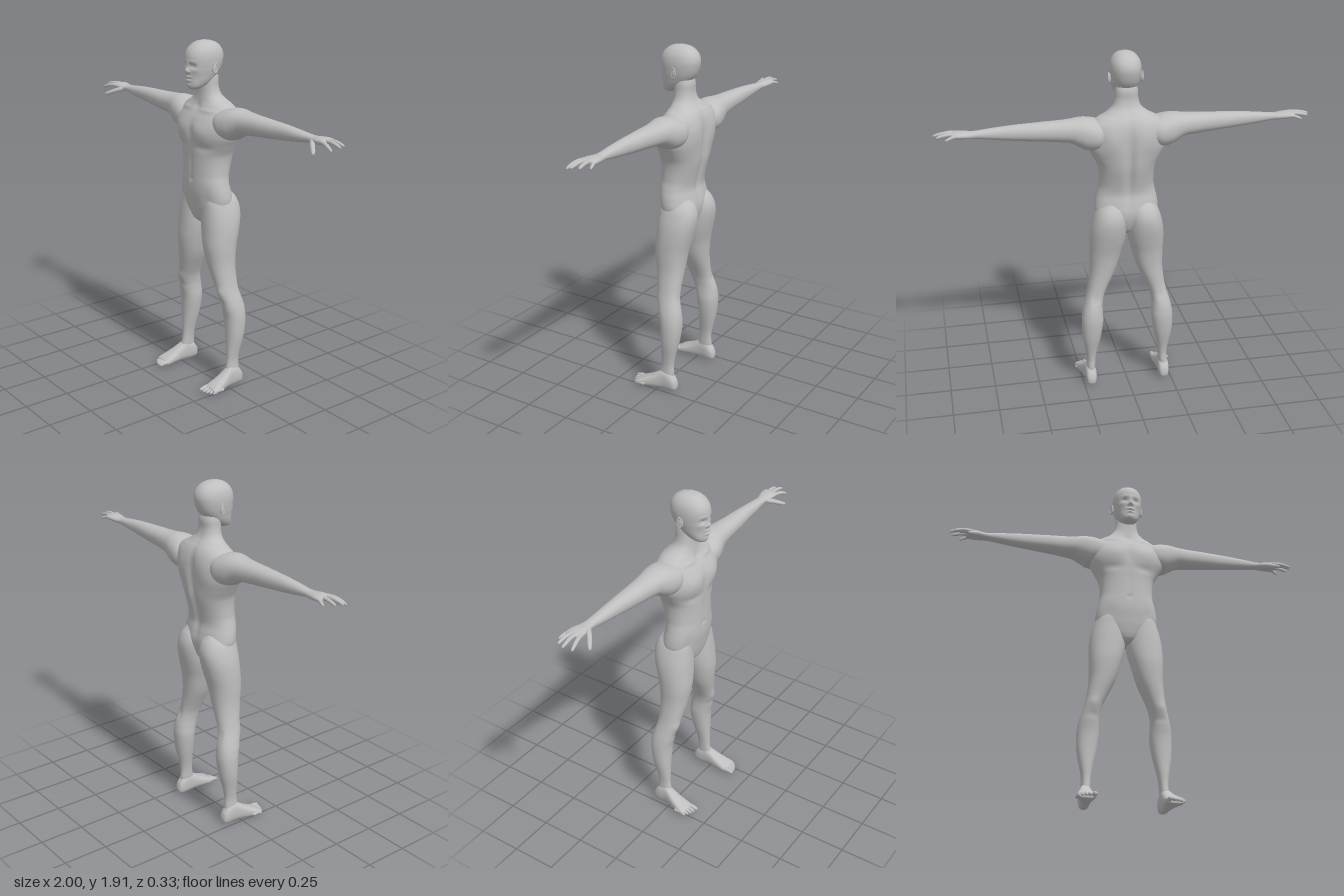
import * as THREE from 'three';
import { mergeVertices } from 'three/addons/utils/BufferGeometryUtils.js';

const skin = new THREE.MeshStandardMaterial({ color: 0xbfbfbf });
skin.name = 'plain grey';

// Cubic interpolation between rows i and i+1, column by column
function between(rows, i, u) {
  const slope = (k, c) => {
    const a = rows[Math.max(k - 1, 0)], b = rows[Math.min(k + 1, rows.length - 1)];
    return (b[c] - a[c]) / (b[0] - a[0]);
  };
  const p = rows[i], q = rows[i + 1], h = q[0] - p[0], u2 = u * u, u3 = u2 * u;
  return p.map((v, c) => c === 0 ? v + h * u :
    v * (2 * u3 - 3 * u2 + 1) + q[c] * (3 * u2 - 2 * u3) +
    h * (slope(i, c) * (u3 - 2 * u2 + u) + slope(i + 1, c) * (u3 - u2)));
}

// Closed skin through rounded sections [t, a0, a1, b0, b1] along an axis:
// y takes (a, b) = (z, x), x takes (y, z), z takes (x, y).
// Bumps [x, y, side, rx, ry, amount] push the front or back surface in z.
function loft(axis, rows, { sides = 40, steps = 6, power = 2.2, bumps = [] } = {}) {
  const rings = [];
  for (let i = 0; i < rows.length - 1; i++)
    for (let s = 0; s < steps; s++) rings.push(between(rows, i, s / steps));
  rings.push(rows[rows.length - 1]);
  const pos = [], index = [];
  const put = (t, a, b, c) => {
    const p = axis === 'y' ? [b, t, a] : axis === 'x' ? [t, a, b] : [a, b, t];
    for (const [x, y, side, rx, ry, amount] of bumps) {
      const g = ((Math.abs(p[0]) - x) / rx) ** 2 + ((p[1] - y) / ry) ** 2;
      p[2] += side * amount * Math.max(0, side * c) * Math.exp(-g);
    }
    pos.push(...p);
  };
  const round = v => Math.sign(v) * Math.abs(v) ** (2 / power);
  for (const [t, a0, a1, b0, b1] of rings)
    for (let j = 0; j < sides; j++) {
      const th = j / sides * Math.PI * 2, c = Math.cos(th);
      put(t, (a0 + a1) / 2 + (a1 - a0) / 2 * round(c), (b0 + b1) / 2 + (b1 - b0) / 2 * round(Math.sin(th)), c);
    }
  const n = rings.length, last = (n - 1) * sides;
  for (const r of [rings[0], rings[n - 1]]) put(r[0], (r[1] + r[2]) / 2, (r[3] + r[4]) / 2, 0);
  for (let j = 0; j < sides; j++) {
    const k = (j + 1) % sides;
    for (let i = 0; i < n - 1; i++) {
      const A = i * sides + j, B = i * sides + k;
      index.push(A, B, B + sides, A, B + sides, A + sides);
    }
    index.push(n * sides, k, j, n * sides + 1, last + j, last + k);
  }
  const g = new THREE.BufferGeometry();
  g.setAttribute('position', new THREE.Float32BufferAttribute(pos, 3));
  g.setIndex(index);
  g.computeVertexNormals();
  return g;
}

// Tapering tube with a rounded tip, for fingers and toes
function digit(points, radius) {
  const curve = new THREE.CatmullRomCurve3(points.map(p => new THREE.Vector3(...p)));
  const segs = 18, sides = 12;
  let g = new THREE.TubeGeometry(curve, segs, radius, sides);
  const pos = g.attributes.position, v = new THREE.Vector3();
  for (let i = 0; i < pos.count; i++) {
    const u = Math.floor(i / (sides + 1)) / segs, c = curve.getPointAt(u);
    v.fromBufferAttribute(pos, i).sub(c).multiplyScalar((1 - 0.25 * u) * Math.sqrt(1 - u ** 8)).add(c);
    pos.setXYZ(i, v.x, v.y, v.z);
  }
  g.deleteAttribute('uv');
  g.deleteAttribute('normal');
  g = mergeVertices(g, 1e-5);
  g.computeVertexNormals();
  return g;
}

// Reflected copy in x, with the corner order restored
function mirrored(geometry) {
  const g = geometry.clone(), pos = g.attributes.position, idx = g.index;
  for (let i = 0; i < pos.count; i++) pos.setX(i, -pos.getX(i));
  for (let i = 0; i < idx.count; i += 3) {
    const a = idx.getX(i);
    idx.setX(i, idx.getX(i + 1));
    idx.setX(i + 1, a);
  }
  g.computeVertexNormals();
  return g;
}

export function createModel() {
  const model = new THREE.Group();
  model.name = 'standingFigure';
  const add = (name, g) => {
    const m = new THREE.Mesh(g, skin);
    m.name = name;
    model.add(m);
  };
  const pair = (name, g) => {
    add('left' + name, g);
    add('right' + name, mirrored(g));
  };
  const even = rows => rows.map(([y, w, z0, z1]) => [y, z0, z1, -w, w]);

  // Torso and neck: height, half width, back, front
  add('torso', loft('y', even([
    [0.915, 0.03, -0.07, 0.015], [0.94, 0.08, -0.1, 0.04], [1, 0.155, -0.125, 0.058], [1.05, 0.172, -0.132, 0.067],
    [1.1, 0.169, -0.125, 0.075], [1.15, 0.158, -0.116, 0.077], [1.2, 0.148, -0.124, 0.077], [1.3, 0.154, -0.15, 0.079],
    [1.36, 0.182, -0.157, 0.083], [1.41, 0.208, -0.16, 0.086], [1.46, 0.216, -0.16, 0.083], [1.5, 0.215, -0.158, 0.068],
    [1.54, 0.195, -0.15, 0.044], [1.57, 0.155, -0.136, 0.03], [1.59, 0.115, -0.12, 0.023], [1.62, 0.078, -0.098, 0.019],
    [1.66, 0.064, -0.086, 0.018], [1.71, 0.06, -0.085, 0.018], [1.75, 0.05, -0.07, 0.01],
  ]), {
    sides: 96, bumps: [
      [0, 1.33, -1, 0.022, 0.2, -0.02], [0.1, 1.46, -1, 0.05, 0.07, 0.01],   // spine, shoulder blades
      [0.09, 1.43, 1, 0.07, 0.045, 0.008], [0, 1.43, 1, 0.02, 0.06, -0.008], // chest, breastbone
      [0.1, 1.35, 1, 0.06, 0.02, -0.008], [0, 1.25, 1, 0.012, 0.08, -0.004], // rib edge, belly line
      [0, 1.17, 1, 0.01, 0.01, -0.008], [0.11, 1.08, 1, 0.03, 0.04, -0.005], // navel, groin
      [0.09, 1.545, 1, 0.05, 0.01, 0.006], [0, 1.56, 1, 0.02, 0.02, -0.008], // collarbones, throat
    ],
  }));

  // Head with the face pushed out of it
  add('head', loft('y', even([
    [1.652, 0.015, 0.04, 0.07], [1.658, 0.03, 0.025, 0.083], [1.672, 0.046, -0.005, 0.09], [1.7, 0.061, -0.05, 0.093],
    [1.73, 0.07, -0.082, 0.095], [1.76, 0.077, -0.102, 0.097], [1.8, 0.082, -0.115, 0.099], [1.83, 0.081, -0.117, 0.098],
    [1.86, 0.073, -0.106, 0.085], [1.885, 0.055, -0.082, 0.06], [1.898, 0.034, -0.053, 0.033], [1.905, 0.006, -0.016, -0.004],
  ]), {
    sides: 112, steps: 8, bumps: [
      [0.032, 1.778, 1, 0.017, 0.012, -0.012], [0.03, 1.803, 1, 0.03, 0.008, 0.003], // eye sockets, brow
      [0, 1.755, 1, 0.01, 0.013, 0.017], [0, 1.785, 1, 0.008, 0.02, 0.007],          // nose, bridge
      [0.012, 1.748, 1, 0.007, 0.007, 0.006], [0.05, 1.757, 1, 0.018, 0.012, 0.003], // nostrils, cheekbones
      [0.05, 1.715, 1, 0.02, 0.025, -0.005],                                         // cheek hollows
      [0, 1.72, 1, 0.02, 0.006, 0.007], [0, 1.702, 1, 0.018, 0.006, 0.007],          // lips
      [0, 1.711, 1, 0.022, 0.004, -0.005], [0, 1.675, 1, 0.018, 0.012, 0.005],       // mouth, chin
    ],
  }));
  pair('Eye', new THREE.SphereGeometry(0.0125, 20, 14).translate(0.032, 1.777, 0.0705));

  // Ears: flat shell with a raised rim
  pair('Ear', new THREE.SphereGeometry(1, 20, 14).scale(0.008, 0.027, 0.016).rotateY(-0.25).translate(0.083, 1.766, -0.015));
  pair('EarRim', new THREE.TorusGeometry(0.014, 0.0035, 8, 28).scale(1, 1.8, 1).rotateY(Math.PI / 2 - 0.25).translate(0.088, 1.768, -0.016));

  // Arm and palm: x, bottom, top, back, front
  pair('Arm', loft('x', [
    [0.1, 1.45, 1.54, -0.12, 0.03], [0.16, 1.405, 1.563, -0.148, 0.05], [0.22, 1.405, 1.575, -0.143, 0.043],
    [0.26, 1.425, 1.575, -0.133, 0.03], [0.3, 1.447, 1.57, -0.123, 0.018], [0.36, 1.455, 1.566, -0.113, 0.009],
    [0.42, 1.461, 1.564, -0.106, 0.004], [0.5, 1.468, 1.561, -0.1, -0.004], [0.6, 1.478, 1.557, -0.092, -0.014],
    [0.7, 1.49, 1.549, -0.086, -0.022], [0.78, 1.502, 1.541, -0.084, -0.029], [0.81, 1.504, 1.54, -0.09, -0.024],
    [0.85, 1.507, 1.544, -0.1, -0.016], [0.885, 1.511, 1.543, -0.103, -0.013], [0.905, 1.516, 1.537, -0.096, -0.02],
  ]));
  [
    ['Thumb', [[0.81, 1.518, -0.035], [0.845, 1.505, -0.002], [0.875, 1.491, 0.022], [0.9, 1.48, 0.043]], 0.0145],
    ['IndexFinger', [[0.875, 1.528, -0.025], [0.92, 1.526, -0.013], [0.955, 1.515, -0.004], [0.98, 1.504, 0.001]], 0.0115],
    ['MiddleFinger', [[0.88, 1.53, -0.046], [0.93, 1.533, -0.043], [0.97, 1.527, -0.04], [1, 1.519, -0.038]], 0.0115],
    ['RingFinger', [[0.88, 1.529, -0.068], [0.92, 1.532, -0.071], [0.955, 1.527, -0.073], [0.985, 1.519, -0.075]], 0.011],
    ['LittleFinger', [[0.87, 1.526, -0.088], [0.9, 1.525, -0.096], [0.92, 1.519, -0.102], [0.94, 1.512, -0.108]], 0.0095],
  ].forEach(([name, points, r]) => pair(name, digit(points, r)));

  // Leg with buttock: height, back, front, inner, outer
  pair('Leg', loft('y', [
    [0.05, -0.085, -0.002, 0.187, 0.235], [0.1, -0.09, -0.007, 0.184, 0.232], [0.15, -0.088, -0.014, 0.181, 0.231],
    [0.2, -0.095, -0.015, 0.174, 0.237], [0.3, -0.118, -0.015, 0.152, 0.254], [0.4, -0.13, -0.01, 0.138, 0.257],
    [0.46, -0.126, 0.002, 0.139, 0.25], [0.5, -0.118, 0.011, 0.138, 0.24], [0.55, -0.106, 0.023, 0.128, 0.226],
    [0.6, -0.101, 0.032, 0.107, 0.215], [0.7, -0.105, 0.05, 0.06, 0.203], [0.8, -0.117, 0.063, 0.03, 0.204],
    [0.88, -0.137, 0.062, 0.01, 0.204], [0.95, -0.153, 0.059, 0.003, 0.198], [1.01, -0.157, 0.055, 0.003, 0.184],
    [1.06, -0.142, 0.05, 0.01, 0.165], [1.1, -0.112, 0.035, 0.03, 0.135],
  ], {
    sides: 56, bumps: [
      [0.185, 0.55, 1, 0.03, 0.03, 0.006], [0.18, 0.49, 1, 0.03, 0.015, -0.003], // kneecap
      [0.185, 0.54, -1, 0.02, 0.04, -0.006],                                     // hollow of the knee
    ],
  }));

  // Foot: z, inner, outer, sole, top
  pair('Foot', loft('z', [
    [-0.112, 0.198, 0.222, 0.02, 0.045], [-0.104, 0.186, 0.234, 0.006, 0.07], [-0.075, 0.179, 0.241, 0, 0.105],
    [-0.03, 0.181, 0.243, 0, 0.116], [0, 0.181, 0.25, 0.001, 0.1], [0.04, 0.179, 0.262, 0.001, 0.075],
    [0.08, 0.177, 0.272, 0, 0.055], [0.11, 0.178, 0.276, 0, 0.041], [0.125, 0.183, 0.272, 0.004, 0.032],
  ], { power: 2.5 }));
  [[0.192, 0.166, 0.0145], [0.215, 0.162, 0.011], [0.234, 0.155, 0.0105], [0.252, 0.145, 0.0105], [0.268, 0.132, 0.01]]
    .forEach(([x, tip, r], i) => pair('Toe' + (i + 1),
      digit([[x, 0.022, tip - 0.07], [x, 0.022, tip - 0.03], [x, r + 0.001, tip]], r)));

  return model;
}
